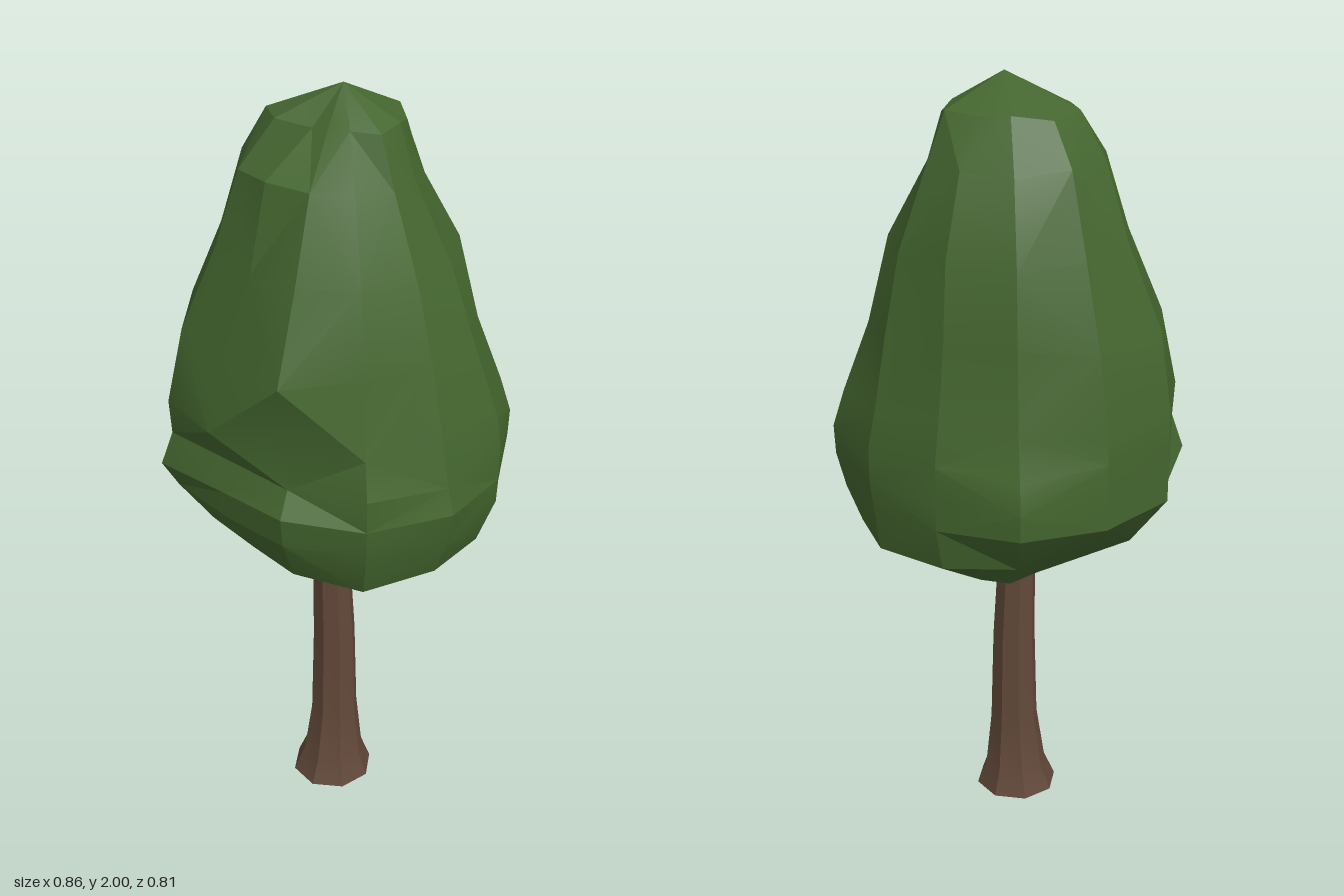
import * as THREE from 'three';
import { toCreasedNormals } from 'three/addons/utils/BufferGeometryUtils.js';

const SIDES = 12;

// Repeatable value in -1..1
function noise(i, j) {
  const s = Math.sin(i * 127.1 + j * 311.7) * 43758.5453;
  return 2 * (s - Math.floor(s)) - 1;
}

// Crown cross-sections: height, then reach every 45 degrees from +x towards the front
const RINGS = [
  [0.73, 0.14, 0.17, 0.17, 0.16, 0.14, 0.18, 0.08, 0.1],
  [0.84, 0.37, 0.35, 0.29, 0.37, 0.32, 0.35, 0.38, 0.37],
  [0.96, 0.41, 0.4, 0.37, 0.46, 0.43, 0.43, 0.395, 0.42],
  [1.04, 0.43, 0.415, 0.41, 0.47, 0.43, 0.445, 0.405, 0.45],
  [1.12, 0.41, 0.41, 0.385, 0.465, 0.43, 0.41, 0.405, 0.455],
  [1.22, 0.385, 0.375, 0.41, 0.46, 0.425, 0.36, 0.385, 0.42],
  [1.4, 0.34, 0.36, 0.34, 0.43, 0.39, 0.33, 0.35, 0.335],
  [1.6, 0.28, 0.3, 0.275, 0.325, 0.33, 0.325, 0.305, 0.275],
  [1.8, 0.19, 0.19, 0.225, 0.26, 0.27, 0.25, 0.225, 0.165],
  [1.92, 0.14, 0.09, 0.09, 0.195, 0.2, 0.155, 0.17, 0.14],
];

// Widest reach of each column
const LIMIT = [0.43, 0.41, 0.4, 0.41, 0.47, 0.45, 0.43, 0.435, 0.39, 0.41, 0.445, 0.42];

// Single corners: the front ledge, the hollow under it and the lower bulge [ring, column, radius]
const CORNERS = [
  [6, 2, 0.4], [5, 2, 0.355], [4, 2, 0.355], [4, 3, 0.345], [3, 3, 0.375], [3, 4, 0.47],
];

function crownGeometry() {
  const points = [];
  RINGS.forEach(([y, ...reach], j) => {
    for (let i = 0; i < SIDES; i++) {
      const f = (i * 8) / SIDES;
      const a = (i / SIDES) * Math.PI * 2;
      const k = Math.floor(f);
      const between = THREE.MathUtils.lerp(reach[k], reach[(k + 1) % 8], f - k);
      const corner = CORNERS.find(([ring, column]) => ring === j && column === i);
      const r = corner ? corner[2] : Math.min(between, LIMIT[i]);
      points.push(r * Math.cos(a), y + 0.015 * noise(i, j), r * Math.sin(a));
    }
  });
  const bottom = points.length / 3;
  const top = bottom + 1;
  points.push(-0.05, 0.71, 0.02, 0, 2, 0);

  const faces = [];
  const last = RINGS.length - 1;
  for (let i = 0; i < SIDES; i++) {
    const n = (i + 1) % SIDES;
    for (let j = 0; j < last; j++) {
      const b = j * SIDES, t = b + SIDES;
      // Alternate the diagonals for irregular facets
      if ((i + j) % 2) faces.push(b + i, t + i, b + n, t + i, t + n, b + n);
      else faces.push(b + i, t + i, t + n, b + i, t + n, b + n);
    }
    faces.push(bottom, i, n, last * SIDES + i, top, last * SIDES + n);
  }
  const geo = new THREE.BufferGeometry();
  geo.setAttribute('position', new THREE.Float32BufferAttribute(points, 3));
  geo.setIndex(faces);
  return toCreasedNormals(geo, 0.3);
}

// Eight-sided trunk with flared foot and a gentle bend
function trunkGeometry() {
  const profile = [[0, 0], [0.112, 0], [0.084, 0.07], [0.065, 0.22], [0.058, 0.48], [0.051, 0.72], [0.046, 0.9]]
    .map(([r, y]) => new THREE.Vector2(r, y));
  const geo = new THREE.LatheGeometry(profile, 8, Math.PI / 8);
  const p = geo.attributes.position;
  for (let i = 0; i < p.count; i++) {
    p.setX(i, p.getX(i) + 0.012);
    p.setZ(i, p.getZ(i) + 0.05 - 0.01 * Math.sin(p.getY(i) * 4.3));
  }
  return toCreasedNormals(geo, 0.25);
}

export function createModel() {
  const leaves = new THREE.MeshStandardMaterial({ color: 0x44662f });
  leaves.name = 'leaf green';
  const bark = new THREE.MeshStandardMaterial({ color: 0x614839 });
  bark.name = 'bark brown';

  const tree = new THREE.Group();
  tree.name = 'tree';
  const trunk = new THREE.Mesh(trunkGeometry(), bark);
  trunk.name = 'trunk';
  const crown = new THREE.Mesh(crownGeometry(), leaves);
  crown.name = 'crown';
  tree.add(trunk, crown);
  return tree;
}
